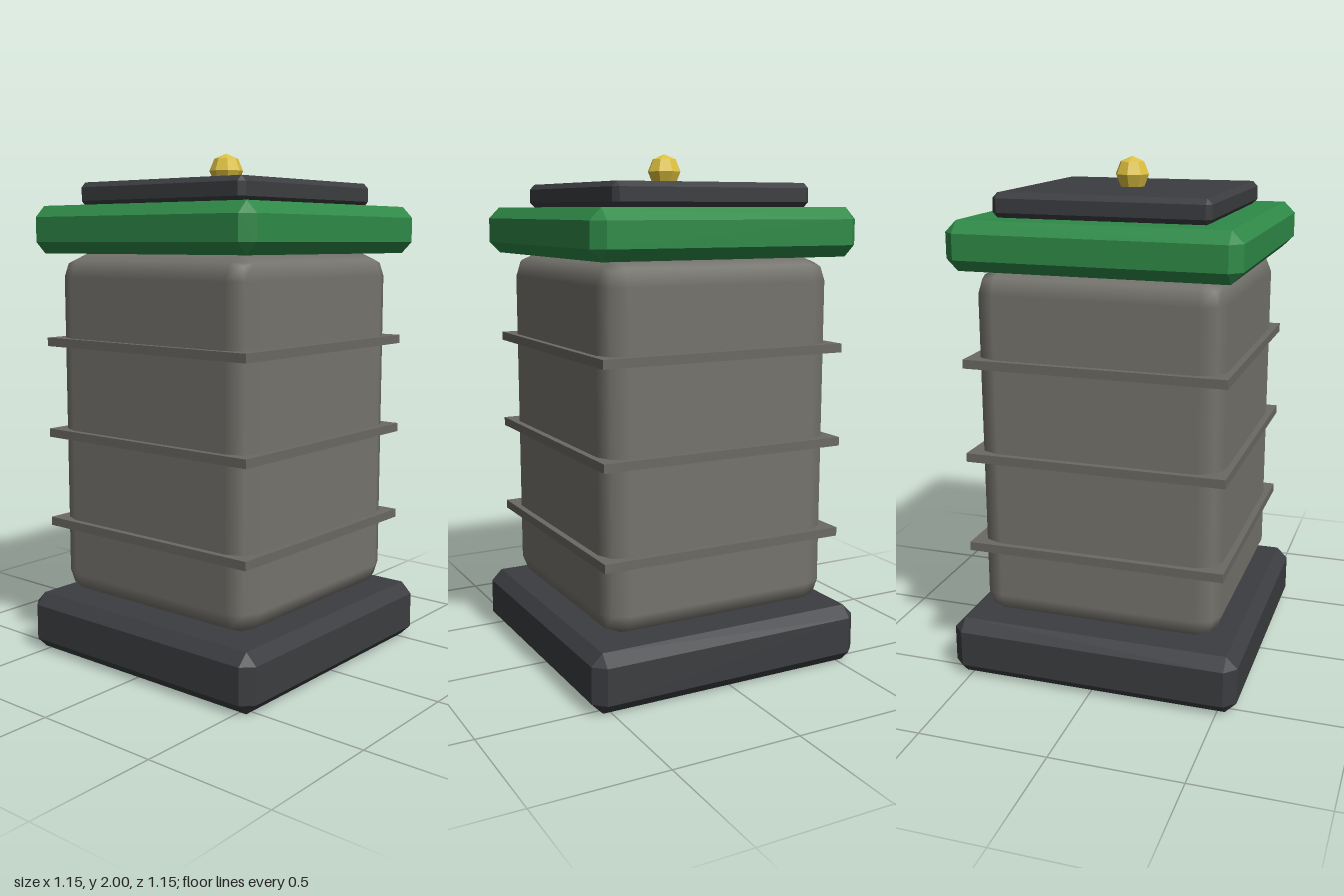
import * as THREE from 'three';
import { ConvexGeometry } from 'three/addons/geometries/ConvexGeometry.js';
import { RoundedBoxGeometry } from 'three/addons/geometries/RoundedBoxGeometry.js';

// Square slab with every edge chamfered by b
function chamferedSlab(half, height, b) {
  const h = [half, height / 2, half];
  const points = [];
  for (const sx of [-1, 1]) for (const sy of [-1, 1]) for (const sz of [-1, 1]) {
    for (let axis = 0; axis < 3; axis++) {
      const p = h.map((v, i) => (i === axis ? v : v - b));
      points.push(new THREE.Vector3(p[0] * sx, p[1] * sy, p[2] * sz));
    }
  }
  return new ConvexGeometry(points);
}

export function createModel() {
  const model = new THREE.Group();
  model.name = 'canister';

  const flat = (color) => new THREE.MeshStandardMaterial({ color, flatShading: true });
  const dark = flat(0x3b3d40);
  const green = flat(0x2f8a48);
  const gold = flat(0xdcc040);
  const ribGrey = flat(0x6b6964);
  const bodyGrey = new THREE.MeshStandardMaterial({ color: 0x75736d });

  const add = (name, geometry, material, y) => {
    const mesh = new THREE.Mesh(geometry, material);
    mesh.name = name;
    mesh.position.y = y;
    model.add(mesh);
  };

  add('base', chamferedSlab(0.573, 0.23, 0.044), dark, 0.115);

  // Softly rounded square body
  add('body', new RoundedBoxGeometry(0.96, 1.375, 0.96, 1, 0.09), bodyGrey, 0.9225);

  // Thin bands around the body
  [0.53, 0.895, 1.262].forEach((y, i) =>
    add(`rib${i + 1}`, new THREE.BoxGeometry(1.01, 0.034, 1.01), ribGrey, y));

  add('collar', chamferedSlab(0.55, 0.184, 0.044), green, 1.703);
  add('lid', chamferedSlab(0.412, 0.092, 0.02), dark, 1.84);
  add('knob', new THREE.SphereGeometry(0.067, 8, 4), gold, 1.933);

  return model;
}
